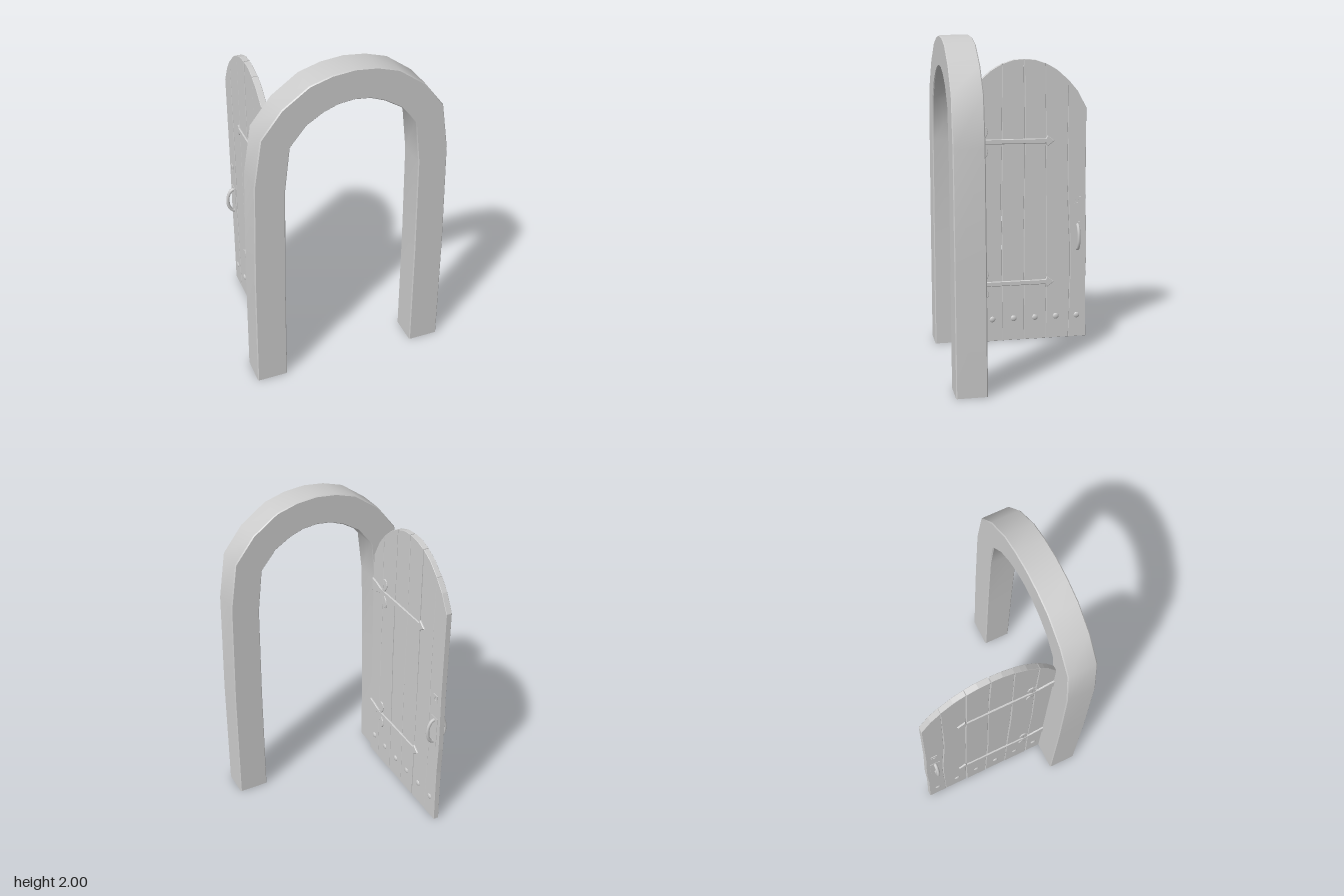
import * as THREE from 'three';
import { toCreasedNormals } from 'three/addons/utils/BufferGeometryUtils.js';

const grey = new THREE.MeshStandardMaterial({ color: 0xcccccc });
const greyOpen = new THREE.MeshStandardMaterial({ color: 0xcccccc, side: THREE.DoubleSide });

function add(parent, name, geometry, material = grey) {
  const mesh = new THREE.Mesh(geometry, material);
  mesh.name = name;
  parent.add(mesh);
  return mesh;
}

// Piecewise linear lookup in [position, value] pairs
function lookup(table, p) {
  for (let i = 1; i < table.length; i++) {
    const [p0, v0] = table[i - 1], [p1, v1] = table[i];
    if (p <= p1) return v0 + (v1 - v0) * (p - p0) / (p1 - p0);
  }
  return table[table.length - 1][1];
}

function slab(points, depth, bevel) {
  const shape = new THREE.Shape(points.map(([x, y]) => new THREE.Vector2(x, y)));
  return new THREE.ExtrudeGeometry(shape, {
    depth: depth - bevel, bevelEnabled: true, bevelThickness: bevel,
    bevelSize: bevel, bevelOffset: -bevel, bevelSegments: 1,
  });
}

// Arch: chamfered rectangular section swept up one leg and down the other
function archGeometry() {
  // outer x, outer y, inner x, inner y
  const half = [
    [0.6, 0, 0.412, 0], [0.592, 0.75, 0.408, 0.72], [0.573, 1.4, 0.397, 1.34],
    [0.528, 1.685, 0.366, 1.605], [0.407, 1.84, 0.272, 1.72],
    [0.254, 1.949, 0.175, 1.78], [0.127, 1.987, 0.09, 1.812], [0, 2, 0, 1.822],
  ];
  const sections = half.map(([a, b, c, d]) => [-a, b, -c, d]);
  sections.push(...half.slice(0, -1).reverse());
  const zf = 0.505, zb = 0.325, c = 0.006, t = 0.03;
  const ring = [[t, zf], [1 - t, zf], [1, zf - c], [1, zb + c],
    [1 - t, zb], [t, zb], [0, zb + c], [0, zf - c]];
  const positions = [], index = [], n = ring.length;
  sections.forEach(([ox, oy, ix, iy], i) => {
    ring.forEach(([f, z], j) => {
      positions.push(ox + (ix - ox) * f, oy + (iy - oy) * f, z);
      if (i === sections.length - 1) return;
      const a = i * n + j, b = i * n + (j + 1) % n;
      index.push(a, b, b + n, a, b + n, a + n);
    });
  });
  const geometry = new THREE.BufferGeometry();
  geometry.setAttribute('position', new THREE.Float32BufferAttribute(positions, 3));
  geometry.setIndex(index);
  return toCreasedNormals(geometry, 0.6);
}

// Rounded top of the door: height by distance from the middle
const DOOR_MID = 0.085;
const topTable = [[0, 1.845], [0.07, 1.84], [0.145, 1.815], [0.21, 1.78],
  [0.29, 1.71], [0.35, 1.64], [0.42, 1.51]];
const topAt = (u) => lookup(topTable, Math.abs(u - DOOR_MID));

// Plank joints: u position by height
const joints = [
  [[0, -0.33], [2, -0.33]],
  [[0, -0.22], [0.35, -0.214], [0.9, -0.22], [1.3, -0.208], [2, -0.21]],
  [[0, -0.062], [0.9, -0.067], [1.3, -0.062], [2, -0.056]],
  [[0, 0.083], [0.7, 0.08], [1.2, 0.086], [2, 0.082]],
  [[0, 0.229], [0.5, 0.232], [1.1, 0.228], [2, 0.225]],
  [[0, 0.383], [0.3, 0.388], [0.55, 0.391], [1.1, 0.372], [2, 0.375]],
  [[0, 0.503], [0.35, 0.496], [0.6, 0.503], [0.95, 0.493], [2, 0.493]],
];

function plankGeometry(k) {
  // Uneven gap on either side of each joint
  const side = (j, sign) => {
    const end = joints[j][0][1];
    const top = topAt(end);
    const points = [];
    for (let i = 0; i <= 8; i++) {
      const y = top * i / 8;
      const gap = j % 6 ? 0.001 + 0.004 * Math.max(0, Math.sin(y * 4.3 + j * 2.1 + sign)) : 0;
      const u = lookup(joints[j], y) + sign * gap;
      points.push([u, i === 8 ? topAt(u) : y]);
    }
    return points;
  };
  const left = side(k, 1), right = side(k + 1, -1);
  const u0 = left[8][0], u1 = right[8][0];
  const crown = [1, 2, 3].map((i) => {
    const u = u1 + (u0 - u1) * i / 4;
    return [u, topAt(u)];
  });
  const thick = 0.031 + 0.003 * (k % 2);
  return slab([...right, ...crown, ...left.reverse()], thick, 0.002).translate(0, 0, -thick / 2 + 0.001);
}

// Strap hinge with a flared root, an arrow tip and two leaf curls
function addHinge(parent, y) {
  const hinge = new THREE.Group();
  hinge.name = 'strapHinge';
  hinge.position.set(0, y, 0.014);
  const edge = [[-0.33, 0.043], [-0.28, 0.034], [-0.23, 0.018], [-0.19, 0.016], [0.225, 0.016], [0.235, 0.036]];
  const lower = edge.map(([u, v]) => [u, -v]);
  add(hinge, 'strap', slab([...lower, [0.283, 0], ...edge.reverse()], 0.012, 0.004));
  const leaf = [[-0.22, 0.008], [-0.187, 0.008], [-0.16, 0.042], [-0.153, 0.07], [-0.163, 0.095],
    [-0.185, 0.103], [-0.203, 0.09], [-0.182, 0.062], [-0.187, 0.04]];
  add(hinge, 'upperLeaf', slab(leaf, 0.01, 0.003));
  add(hinge, 'lowerLeaf', slab(leaf.map(([u, v]) => [u, -v]).reverse(), 0.01, 0.003));
  parent.add(hinge);
}

// Fittings for one face of the door; mirror = -1 puts them on the other face
function addFittings(door, face) {
  const side = new THREE.Group();
  side.name = face > 0 ? 'innerFittings' : 'outerFittings';
  side.scale.z = face;
  door.add(side);

  addHinge(side, 1.322);
  addHinge(side, 0.388);

  // Row of studs
  for (let i = 0; i < 6; i++) {
    const stud = add(side, 'stud', new THREE.SphereGeometry(0.021, 12, 4, 0, Math.PI * 2, 0, Math.PI / 2));
    stud.rotation.x = Math.PI / 2;
    stud.scale.y = 0.5;
    stud.position.set(-0.273 + i * 0.1424, 0.148, 0.015);
  }

  // Pull handle on its plate
  add(side, 'handlePlate', new THREE.BoxGeometry(0.068, 0.205, 0.007)).position.set(0.44, 0.682, 0.017);
  const bow = new THREE.CatmullRomCurve3([[0.6, 0.014], [0.607, 0.036], [0.64, 0.056], [0.682, 0.062],
    [0.724, 0.056], [0.757, 0.036], [0.764, 0.014]].map(([y, z]) => new THREE.Vector3(0.44, y, z)));
  add(side, 'handle', new THREE.TubeGeometry(bow, 20, 0.011, 8));

  // Keyhole plate
  const plate = new THREE.Shape([[0.42, 0.9], [0.463, 0.9], [0.459, 0.924], [0.463, 0.948], [0.42, 0.948], [0.424, 0.924]]
    .map(([x, y]) => new THREE.Vector2(x, y)));
  plate.holes.push(new THREE.Path([[0.433, 0.909], [0.436, 0.936], [0.446, 0.936], [0.45, 0.909]]
    .map(([x, y]) => new THREE.Vector2(x, y))));
  add(side, 'keyholePlate', new THREE.ExtrudeGeometry(plate, { depth: 0.008, bevelEnabled: false }))
    .position.z = 0.014;
}

export function createModel() {
  const model = new THREE.Group();
  model.name = 'archedDoorway';
  add(model, 'archFrame', archGeometry(), greyOpen);

  // Open door, standing at a right angle to the frame
  const door = new THREE.Group();
  door.name = 'door';
  door.position.x = -0.405;
  door.rotation.y = Math.PI / 2;
  for (let k = 0; k < 6; k++) add(door, 'plank', plankGeometry(k));
  addFittings(door, 1);
  addFittings(door, -1);
  model.add(door);
  return model;
}
